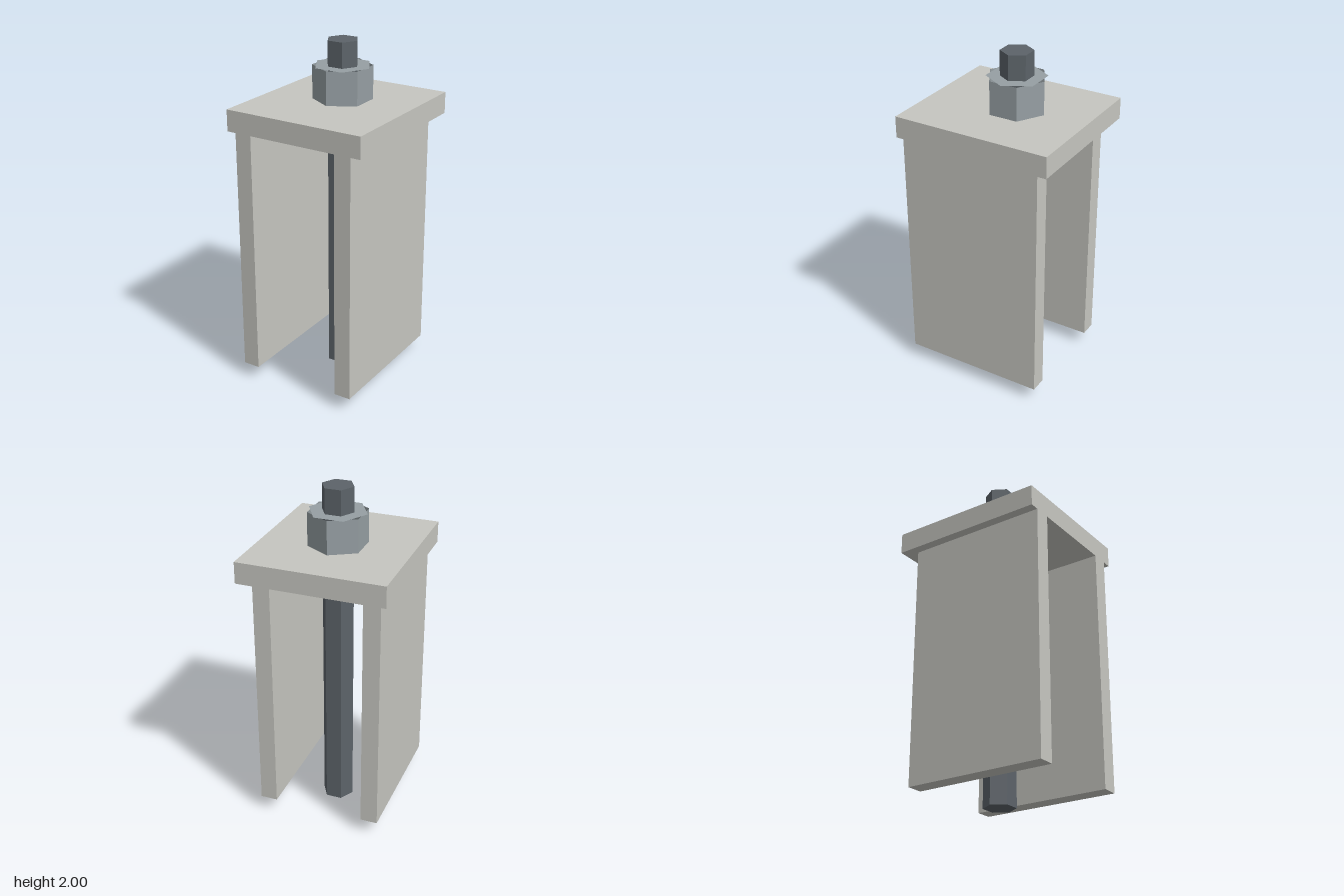
import * as THREE from 'three';

export function createModel() {
  const model = new THREE.Group();
  const material = (name, color, side = THREE.FrontSide) => {
    const m = new THREE.MeshStandardMaterial({ color, flatShading: true, side });
    m.name = name;
    return m;
  };
  const paleGrey = material('pale grey', 0xc6c6c0);
  const steel = material('steel', 0x969fa3, THREE.DoubleSide);
  const darkSteel = material('dark steel', 0x5c6369);

  const add = (name, geometry, mat, x, y, z, parent = model) => {
    const mesh = new THREE.Mesh(geometry, mat);
    mesh.name = name;
    mesh.position.set(x, y, z);
    parent.add(mesh);
    return mesh;
  };

  // Top plate and the two side plates hanging below it, flush at the front
  add('topPlate', new THREE.BoxGeometry(0.85, 0.125, 0.935), paleGrey, 0, 1.5975, 0);
  for (const [name, x] of [['leftSidePlate', 0.316], ['rightSidePlate', -0.32]]) {
    add(name, new THREE.BoxGeometry(0.1, 1.447, 0.85), paleGrey, x, 0.8115, 0.0425);
  }

  // Hexagonal rod running through the plate, corners towards the sides
  const axisX = -0.002, axisZ = -0.042;
  const rod = add('rod', new THREE.CylinderGeometry(0.093, 0.093, 2, 6), darkSteel, axisX, 1, axisZ);
  rod.rotation.y = Math.PI / 6;

  // Nut: hexagonal wall with a face turned by half a side
  const nut = new THREE.Group();
  nut.name = 'nut';
  nut.position.set(axisX, 1.66, axisZ);
  model.add(nut);
  add('nutWall', new THREE.CylinderGeometry(0.17, 0.17, 0.195, 6, 1, true), steel, 0, 0.0975, 0, nut);
  add('nutFace', new THREE.CircleGeometry(0.17, 6).rotateX(-Math.PI / 2), steel, 0, 0.195, 0, nut);

  return model;
}
